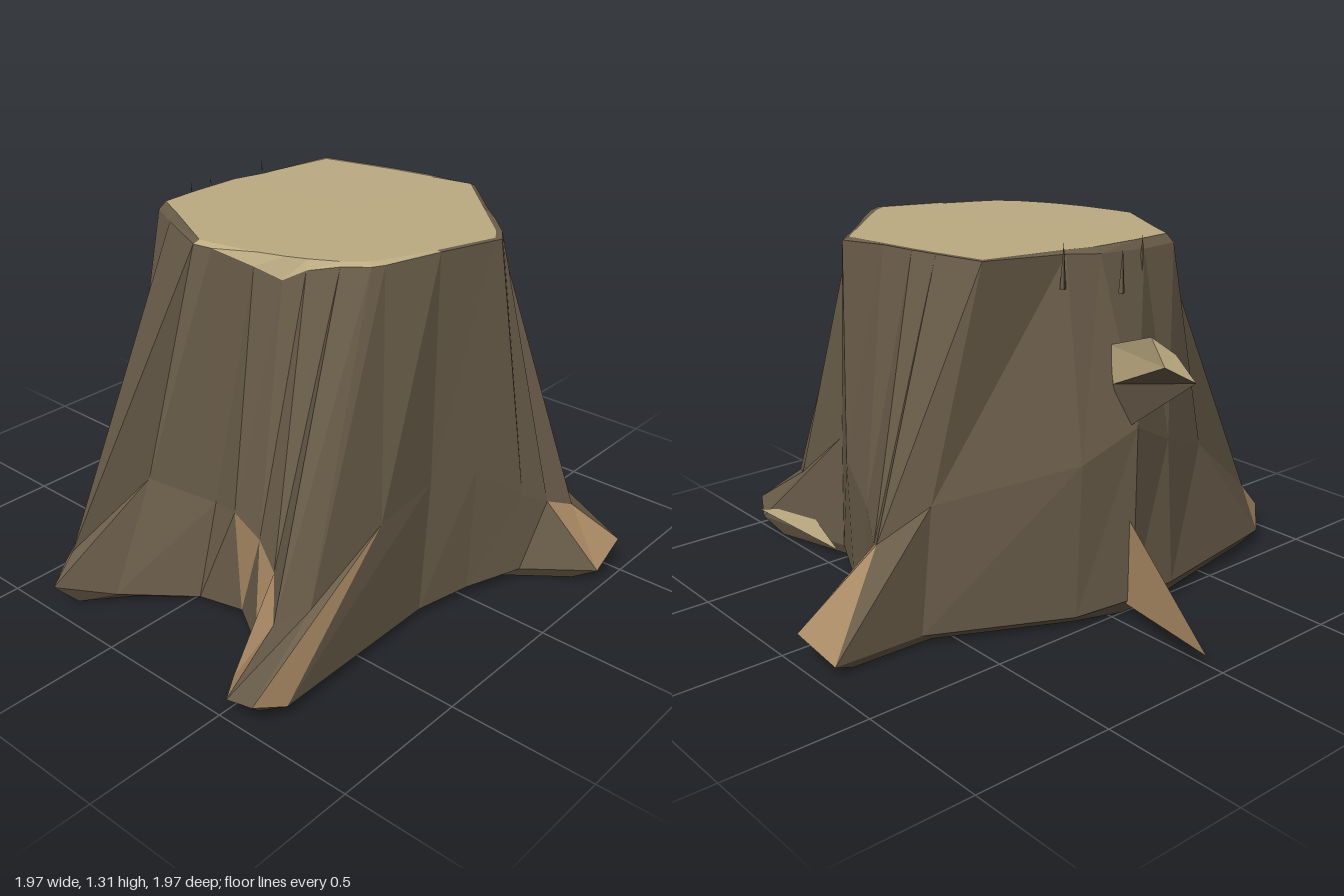
import * as THREE from 'three';

const material = (name, color) => {
  const m = new THREE.MeshStandardMaterial({ color, flatShading: true, side: THREE.DoubleSide });
  m.name = name;
  return m;
};

// Mesh from a list of triangles, each three [x, y, z] corners
function facets(name, mat, tris) {
  const g = new THREE.BufferGeometry();
  g.setAttribute('position', new THREE.Float32BufferAttribute(tris.flat(2), 3));
  g.computeVertexNormals();
  const mesh = new THREE.Mesh(g, mat);
  mesh.name = name;
  return mesh;
}

// Two wall facets between two loops at column i: a stands on the low loop, b hangs from the high one
function quad(low, high, i) {
  const j = (i + 1) % low.length;
  return [[low[i], low[j], high[j]], [low[i], high[j], high[i]]];
}
const fan = (loop, c, up) => loop.map((p, i) => {
  const q = loop[(i + 1) % loop.length];
  return up ? [p, q, c] : [q, p, c];
});

// Outlines run from the right side (-x) past the front, left and back
const ground = [ // foot of the stump, following each root
  [-.55, .08, .05], [-.54, .08, .25], [-.43, .07, .84], [-.3, .1, .99], [-.17, .05, .83],
  [.03, .03, .63], [.2, .04, .6], [.38, .06, .72], [.44, .05, .88], [.5, .05, .97],
  [.63, .1, .99], [.66, .05, .87], [.64, .04, .2], [.69, .05, 0], [.77, .06, -.2],
  [.98, .06, -.37], [.98, .13, -.5], [.9, .08, -.54], [.5, .06, -.43], [.27, .05, -.54],
  [.11, .06, -.6], [-.07, .11, -.98], [-.24, .05, -.95], [-.25, .05, -.62], [-.48, .05, -.15],
];
const shoulder = [ // where the roots swell out of the trunk
  [-.55, .7, .05], [-.5, .6, .25], [-.42, .5, .5], [-.3, .2, .9], [-.14, .45, .68],
  [.04, .37, .55], [.18, .41, .6], [.32, .38, .63], [.43, .33, .68], [.54, .25, .8],
  [.6, .28, .7], [.63, .46, .4], [.63, .5, .15], [.69, .5, -.02], [.76, .35, -.2],
  [.8, .3, -.3], [.84, .26, -.4], [.72, .3, -.46], [.48, .5, -.43], [.27, .5, -.55],
  [.08, .4, -.6], [-.09, .34, -.69], [-.15, .37, -.72], [-.26, .5, -.58], [-.5, .6, -.15],
];
const rim = [ // cut edge
  [-.41, 1.26, 0], [-.41, 1.25, .2], [-.4, 1.25, .35], [-.28, 1.25, .41], [-.02, 1.27, .55],
  [.05, 1.27, .54], [.2, 1.24, .51], [.29, 1.21, .48], [.36, 1.25, .45], [.45, 1.27, .4],
  [.52, 1.27, .34], [.54, 1.27, .3], [.61, 1.28, .12], [.67, 1.28, -.07], [.68, 1.28, -.1],
  [.64, 1.28, -.16], [.55, 1.28, -.25], [.45, 1.27, -.35], [.36, 1.27, -.44], [.27, 1.27, -.53],
  [.08, 1.28, -.5], [-.05, 1.28, -.48], [-.15, 1.28, -.46], [-.33, 1.28, -.42], [-.38, 1.27, -.12],
];

export function createModel() {
  const bark = material('bark', 0x6a5d4a);
  const rawWood = material('raw root wood', 0xa98964);
  const cutWood = material('cut wood', 0xbcab82);
  const model = new THREE.Group();
  model.name = 'treeStump';

  // Trunk and roots, with bare wood on some root faces and undersides
  const sole = ground.map(([x, , z]) => [x * .92, .015, z * .92]);
  const bare = new Set(['2a', '6b', '7a', '7b', '8a', '8b', '10a', '15a', '15b', '20a', '21a', '21b']);
  const bareUnder = new Set([15, 16, 21]);
  const barkTris = [], bareTris = [];
  ground.forEach((_, i) => {
    barkTris.push(...quad(shoulder, rim, i));
    (bareUnder.has(i) ? bareTris : barkTris).push(...quad(sole, ground, i));
    quad(ground, shoulder, i).forEach((tri, k) => (bare.has(i + 'ab'[k]) ? bareTris : barkTris).push(tri));
  });
  barkTris.push(...fan(sole, [.05, .01, 0], false));

  // Sawn top; its narrow bevel is wood at the front and bark elsewhere
  const inner = rim.map(([x, , z]) => [.12 + (x - .12) * .96, 1.28, z * .96]);
  const topTris = fan(inner, [.12, 1.285, 0], true);
  rim.forEach((_, i) => (i > 3 && i < 12 ? topTris : barkTris).push(...quad(rim, inner, i)));
  model.add(facets('trunkAndRoots', bark, barkTris));
  model.add(facets('bareRootFaces', rawWood, bareTris));
  model.add(facets('sawnTop', cutWood, topTris));

  // Pale split along the back of the left root
  model.add(facets('rootSplit', cutWood, [[[.91, .11, -.55], [.5, .05, -.46], [.68, .16, -.47]]]));

  // Broken branch stub on the right, narrow at the trunk: bark below, pale wood above
  const neck = [[-.46, .97, 0], [-.5, .85, -.02], [-.5, .68, .03], [-.48, .8, .11], [-.44, .95, .09]];
  const end = [[-.71, 1.06, -.07], [-.78, .98, -.08], [-.82, .92, .02], [-.7, .91, .06], [-.66, 1, .04]];
  const stubBark = [], stubWood = fan(end, [-.75, 1, 0], true);
  neck.forEach((_, i) => ([1, 2].includes(i) ? stubBark : stubWood).push(...quad(neck, end, i)));
  model.add(facets('branchBark', bark, stubBark));
  model.add(facets('branchWood', cutWood, stubWood));

  // Thin root blade on the right
  model.add(facets('rootBlade', rawWood, [[[-.99, .09, -.07], [-.5, .06, .04], [-.5, .4, .04]]]));

  // Splinters standing along the right rim
  [[-.47, 1.21, .04], [-.42, 1.23, .18], [-.4, 1.24, -.15]].forEach(([x, y, z]) => {
    const s = new THREE.Mesh(new THREE.ConeGeometry(.012, .15, 3), bark);
    s.name = 'splinter';
    s.position.set(x, y, z);
    model.add(s);
  });
  return model;
}
